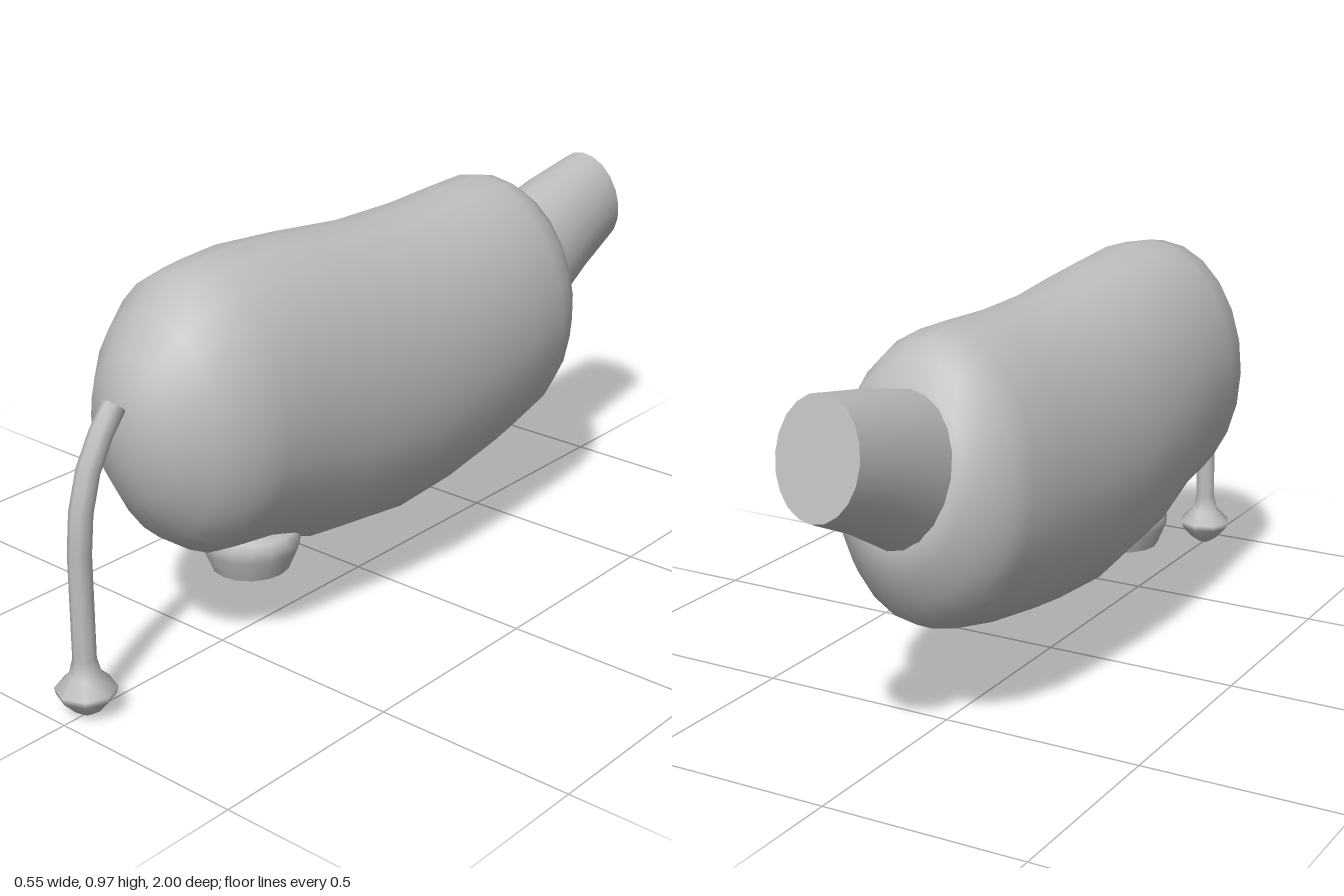
import * as THREE from 'three';
import { mergeVertices } from 'three/addons/utils/BufferGeometryUtils.js';

const grey = new THREE.MeshStandardMaterial({ color: 0xbdbdbd });
grey.name = 'plain grey';

// Skin over elliptical rings; each ring is [zA, yA, zB, yB, halfWidth],
// where A and B are opposite ends of the ring in the middle plane.
function loft(rings, sides) {
  const pos = [], idx = [];
  for (const [zA, yA, zB, yB, w] of rings) {
    for (let j = 0; j < sides; j++) {
      const t = (j / sides) * Math.PI * 2, c = Math.cos(t) / 2;
      pos.push(w * Math.sin(t), (yA + yB) / 2 + (yA - yB) * c, (zA + zB) / 2 + (zA - zB) * c);
    }
  }
  for (let i = 0; i < rings.length - 1; i++) {
    for (let j = 0; j < sides; j++) {
      const k = (j + 1) % sides;
      const a = i * sides + j, b = i * sides + k, c = a + sides, d = b + sides;
      idx.push(a, b, c, b, d, c);
    }
  }
  let geo = new THREE.BufferGeometry();
  geo.setAttribute('position', new THREE.Float32BufferAttribute(pos, 3));
  geo.setIndex(idx);
  geo = mergeVertices(geo, 1e-5);
  geo.computeVertexNormals();
  return geo;
}

// Ring shrunk to its centre point, for flat caps
const centre = ([zA, yA, zB, yB]) => {
  const z = (zA + zB) / 2, y = (yA + yB) / 2;
  return [z, y, z, y, 0];
};

export function createModel() {
  const model = new THREE.Group();
  model.name = 'animalTorso';
  const add = (name, geo) => {
    const mesh = new THREE.Mesh(geo, grey);
    mesh.name = name;
    model.add(mesh);
    return mesh;
  };

  // Barrel body, from rump (+z) to shoulders (-z)
  const body = [
    [0.797, 0.65, 0.797, 0.65, 0],
    [0.787, 0.72, 0.79, 0.56, 0.06],
    [0.76, 0.80, 0.765, 0.46, 0.125],
    [0.69, 0.885, 0.69, 0.345, 0.195],
    [0.615, 0.945, 0.60, 0.28, 0.24],
    [0.53, 0.96, 0.52, 0.265, 0.25],
    [0.42, 0.966, 0.41, 0.25, 0.258],
    [0.22, 0.95, 0.26, 0.195, 0.268],
    [0, 0.925, 0, 0.165, 0.275],
    [-0.2, 0.922, -0.2, 0.178, 0.27],
    [-0.36, 0.93, -0.4, 0.21, 0.26],
    [-0.48, 0.934, -0.56, 0.25, 0.248],
    [-0.535, 0.92, -0.62, 0.28, 0.23],
    [-0.585, 0.89, -0.67, 0.34, 0.20],
    [-0.625, 0.83, -0.715, 0.425, 0.16],
    [-0.645, 0.78, -0.732, 0.5, 0.12],
  ];
  body.push(centre(body[body.length - 1]));
  add('body', loft(body, 24));

  // Neck stump with a flat cut end
  const neck = [
    [-0.52, 0.795, -0.64, 0.43, 0.138],
    [-0.63, 0.828, -0.735, 0.492, 0.132],
    [-0.79, 0.867, -0.87, 0.57, 0.118],
    [-0.945, 0.895, -1, 0.63, 0.104],
  ];
  add('neck', loft(neck, 20));
  add('neckEnd', loft([neck[3], centre(neck[3])], 20));

  // Tail, hanging down to a tuft
  const tail = [
    [0.785, 0.685, 0.825, 0.72, 0.027],
    [0.825, 0.635, 0.87, 0.667, 0.027],
    [0.865, 0.565, 0.914, 0.59, 0.027],
    [0.89, 0.48, 0.943, 0.495, 0.027],
    [0.9, 0.39, 0.954, 0.395, 0.027],
    [0.903, 0.14, 0.957, 0.14, 0.027],
    [0.893, 0.1, 0.967, 0.1, 0.038],
    [0.86, 0.066, 1, 0.066, 0.073],
    [0.864, 0.05, 0.996, 0.05, 0.068],
    [0.895, 0.017, 0.965, 0.017, 0.038],
    [0.915, 0.002, 0.945, 0.002, 0.015],
    [0.93, 0, 0.93, 0, 0],
  ];
  add('tail', loft(tail, 8));
  add('tailRoot', loft([centre(tail[0]), tail[0]], 8));

  // Udder: domed bowl with a flat base
  const profile = [[0.095, 0.165], [0.118, 0.22], [0.12, 0.245], [0.112, 0.265], [0.07, 0.28], [0, 0.285]];
  const side = new THREE.LatheGeometry(profile.map(([r, y]) => new THREE.Vector2(r, y)), 16);
  add('udder', side).position.z = 0.395;
  const base = add('udderBase', new THREE.CircleGeometry(0.095, 16));
  base.rotation.x = Math.PI / 2;
  base.position.set(0, 0.165, 0.395);

  return model;
}
